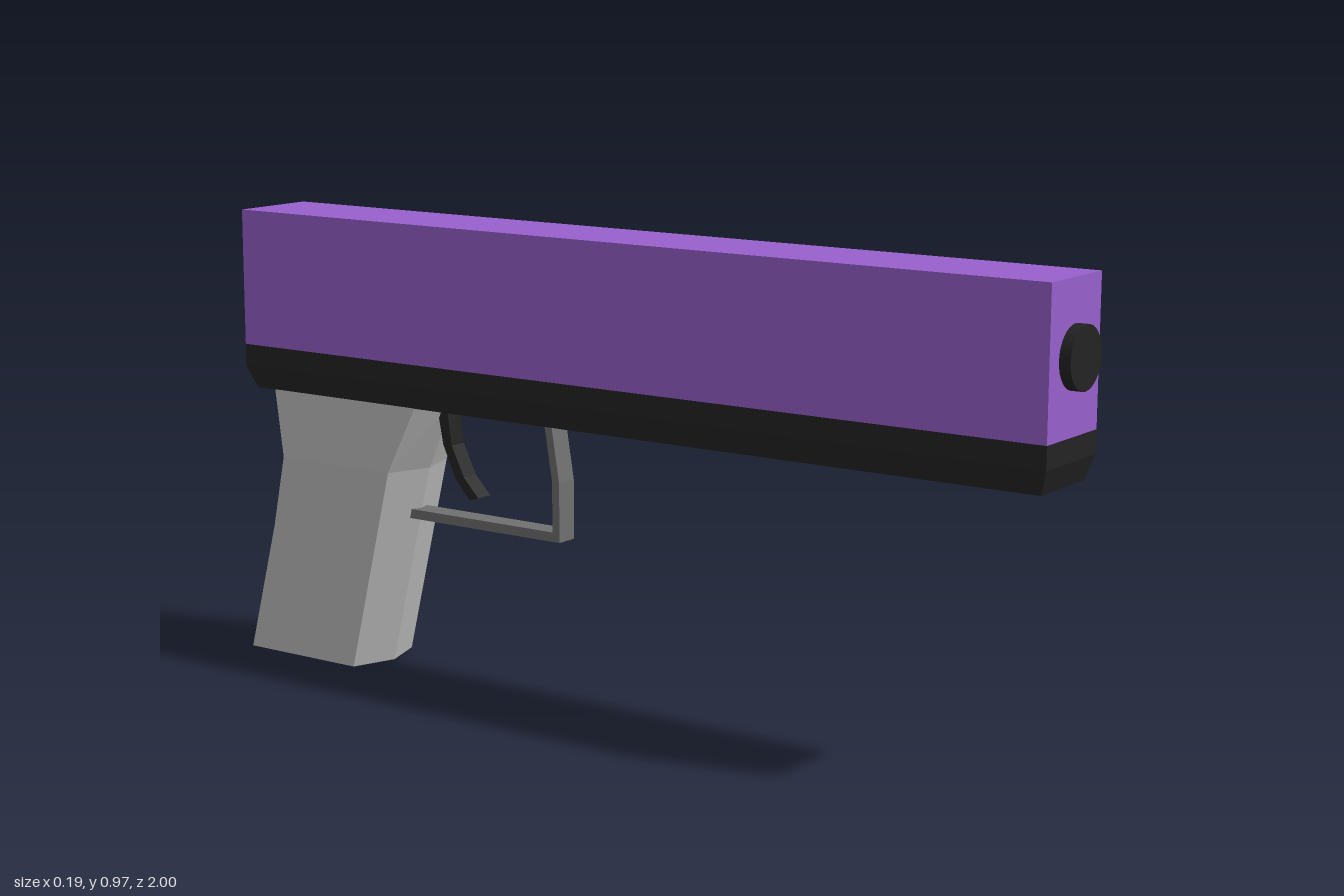
import * as THREE from 'three';

const material = (name, color) => {
  const m = new THREE.MeshStandardMaterial({ color, flatShading: true });
  m.name = name;
  return m;
};

// Solid from stacked convex rings [y, [[x, z], ...]], bottom to top
function loft(rings) {
  const n = rings[0][1].length;
  const points = rings.map(([y, ring]) => ring.map(([x, z]) => [x, y, z]));
  const out = [];
  const tri = (a, b, c) => out.push(...a, ...b, ...c);
  for (let k = 0; k < points.length - 1; k++) {
    const lo = points[k], hi = points[k + 1];
    for (let i = 0; i < n; i++) {
      const j = (i + 1) % n;
      tri(lo[i], lo[j], hi[j]);
      tri(lo[i], hi[j], hi[i]);
    }
  }
  const bottom = points[0], top = points[points.length - 1];
  for (let i = 1; i < n - 1; i++) {
    tri(top[0], top[i], top[i + 1]);
    tri(bottom[0], bottom[i + 1], bottom[i]);
  }
  const g = new THREE.BufferGeometry();
  g.setAttribute('position', new THREE.Float32BufferAttribute(out, 3));
  g.computeVertexNormals();
  return g;
}

// Side profile of [z, y] points, extruded across x and centred
function sideProfile(pts, width) {
  const shape = new THREE.Shape(pts.map(([z, y]) => new THREE.Vector2(z, y)));
  const g = new THREE.ExtrudeGeometry(shape, { depth: width, bevelEnabled: false });
  g.translate(0, 0, -width / 2);
  return g.rotateY(-Math.PI / 2);
}

const rect = (w, front, back) => [[-w, front], [w, front], [w, back], [-w, back]];

// Six-sided grip section: ridges on the centre line, flat sides
const gripRing = (w, front, back) => [
  [0, front], [w, front - 0.033], [w, back + 0.033],
  [0, back], [-w, back + 0.033], [-w, front - 0.033],
];

export function createModel() {
  const group = new THREE.Group();
  const purple = material('purple', 0x9860cd);
  const black = material('black', 0x232323);
  const lightGrey = material('light grey', 0xbfbfbf);
  const darkGrey = material('dark grey', 0x707070);
  const add = (name, geometry, mat) => {
    const mesh = new THREE.Mesh(geometry, mat);
    mesh.name = name;
    group.add(mesh);
    return mesh;
  };

  // Upper body
  add('slide', new THREE.BoxGeometry(0.194, 0.292, 1.94), purple).position.set(0, 0.824, 0.007);

  // Lower body with a chamfered underside
  add('frame', loft([
    [0.583, rect(0.084, 0.962, -0.943)],
    [0.632, rect(0.097, 0.977, -0.963)],
    [0.678, rect(0.097, 0.977, -0.963)],
  ]), black);

  // Muzzle disc
  const muzzle = new THREE.CylinderGeometry(0.061, 0.061, 0.04, 32).rotateX(Math.PI / 2);
  const muzzleMaterial = black.clone();
  muzzleMaterial.flatShading = false;
  add('muzzle', muzzle, muzzleMaterial).position.set(0, 0.825, 0.98);

  // Raked grip
  add('grip', loft([
    [0, gripRing(0.097, -0.638, -1)],
    [0.285, gripRing(0.097, -0.568, -0.925)],
    [0.44, gripRing(0.097, -0.53, -0.893)],
    [0.585, gripRing(0.084, -0.465, -0.925)],
  ]), lightGrey);

  // Bent strip ahead of the grip
  add('triggerGuard', sideProfile([
    [-0.187, 0.59], [-0.165, 0.455], [-0.165, 0.33], [-0.575, 0.33],
    [-0.57, 0.35], [-0.183, 0.35], [-0.183, 0.455], [-0.205, 0.59],
  ], 0.05), darkGrey);

  // Curved trigger
  add('trigger', sideProfile([
    [-0.465, 0.59], [-0.452, 0.5], [-0.42, 0.435], [-0.382, 0.395],
    [-0.405, 0.388], [-0.443, 0.43], [-0.475, 0.5], [-0.492, 0.59],
  ].reverse(), 0.04), black);

  return group;
}
